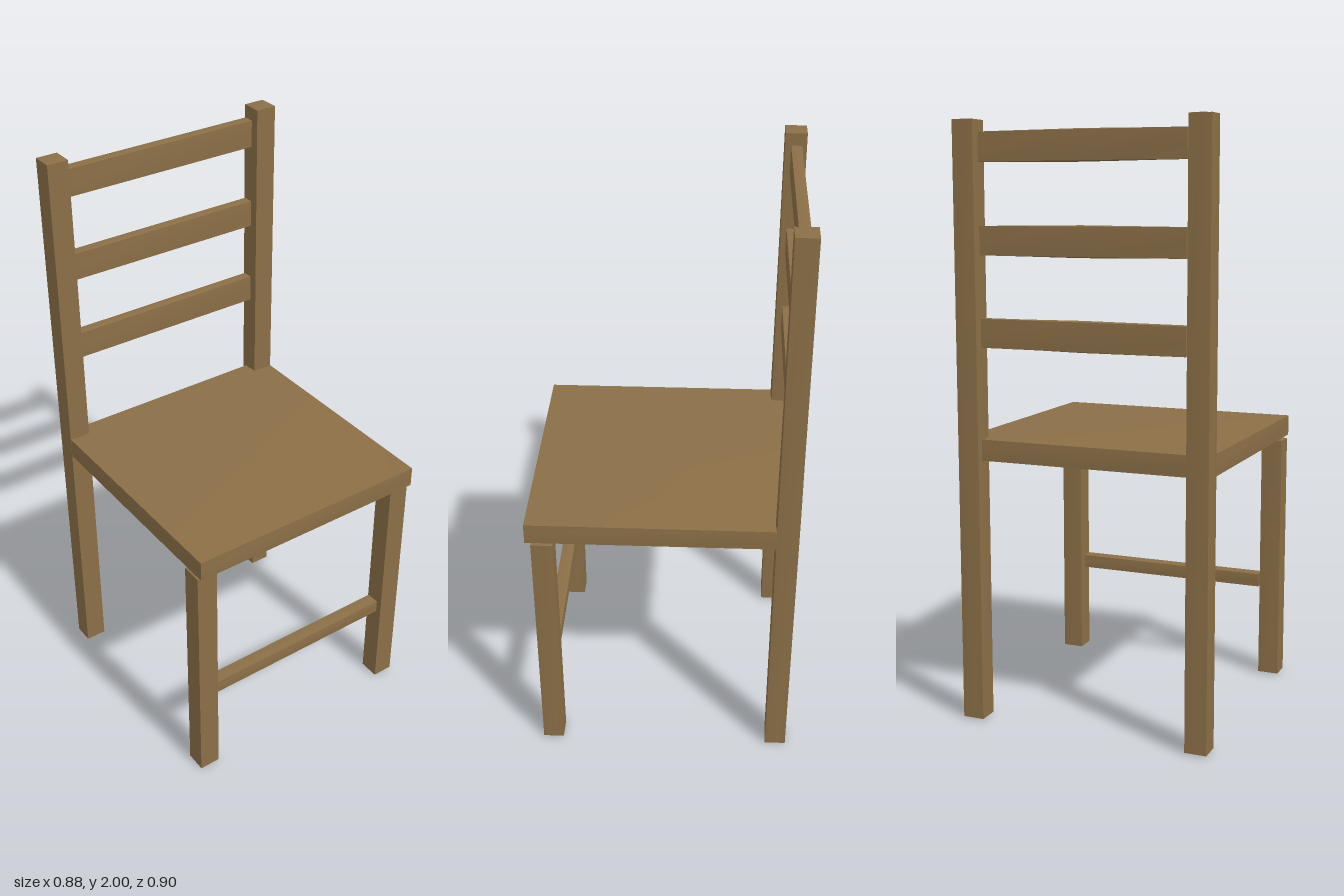
import * as THREE from 'three';

const wood = new THREE.MeshStandardMaterial({ color: 0x8b6f47 });
wood.name = 'brown wood';

const BULGE = 0.004;

// A box with crisp edges whose six faces swell slightly towards their centres.
function softBox(w, h, d) {
  const geo = new THREE.BoxGeometry(w, h, d, 2, 2, 2);
  const pos = geo.attributes.position;
  const nor = geo.attributes.normal;
  const half = [w / 2, h / 2, d / 2];
  for (let i = 0; i < pos.count; i++) {
    const p = [pos.getX(i), pos.getY(i), pos.getZ(i)];
    const n = [nor.getX(i), nor.getY(i), nor.getZ(i)];
    let lift = BULGE;
    for (let a = 0; a < 3; a++) {
      if (Math.abs(n[a]) < 0.5) lift *= 1 - (p[a] / half[a]) ** 2;
    }
    pos.setXYZ(i, p[0] + n[0] * lift, p[1] + n[1] * lift, p[2] + n[2] * lift);
  }
  geo.computeVertexNormals();
  return geo;
}

// Adds a part given its [min, max] extents on each axis.
function addPart(group, name, [x0, x1], [y0, y1], [z0, z1]) {
  const mesh = new THREE.Mesh(softBox(x1 - x0, y1 - y0, z1 - z0), wood);
  mesh.name = name;
  mesh.position.set((x0 + x1) / 2, (y0 + y1) / 2, (z0 + z1) / 2);
  group.add(mesh);
}

export function createModel() {
  const chair = new THREE.Group();
  chair.name = 'chair';

  // Seat board
  addPart(chair, 'seat', [-0.436, 0.436], [0.894, 0.965], [-0.426, 0.446]);

  // Tall back posts and short front legs
  for (const [side, s] of [['left', 1], ['right', -1]]) {
    const x = [s * 0.4 - 0.037, s * 0.4 + 0.037];
    addPart(chair, side + 'BackPost', x, [0.004, 1.996], [-0.447, -0.375]);
    addPart(chair, side + 'FrontLeg', x, [0.004, 0.884], [0.355, 0.427]);
  }

  // Ladder slats of the backrest
  [1.316, 1.614, 1.91].forEach((y, i) => {
    addPart(chair, 'backSlat' + (i + 1), [-0.354, 0.354], [y - 0.047, y + 0.047], [-0.43, -0.394]);
  });

  // Stretcher between the front legs
  addPart(chair, 'frontStretcher', [-0.354, 0.354], [0.327, 0.374], [0.368, 0.414]);

  return chair;
}
